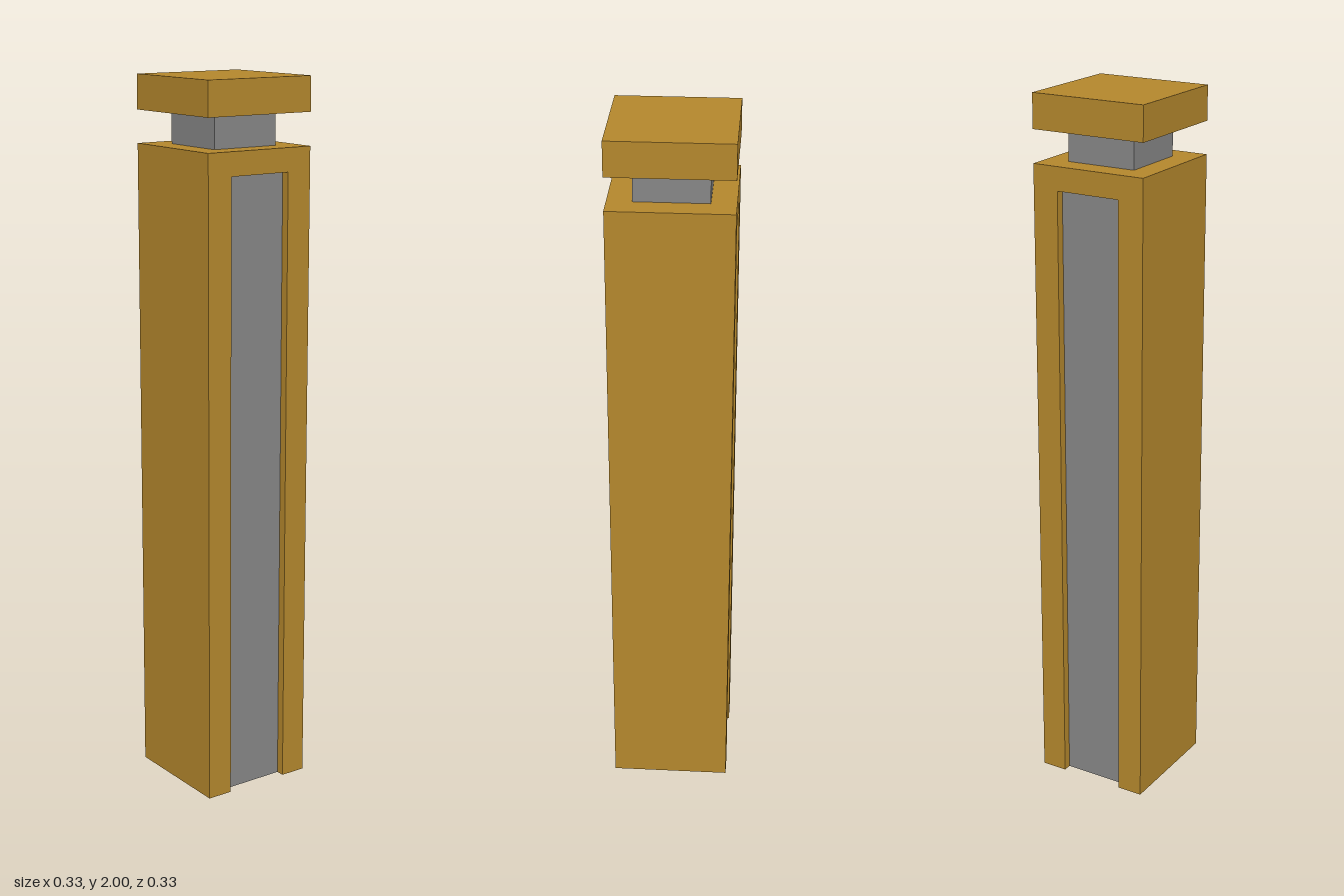
import * as THREE from 'three';

export function createModel() {
  const model = new THREE.Group();
  model.name = 'bollard';

  const brass = new THREE.MeshStandardMaterial({ color: 0xb4872d });
  brass.name = 'ochre';
  const grey = new THREE.MeshStandardMaterial({ color: 0x868686 });
  grey.name = 'grey';

  const half = 0.1667;       // half width of post and cap
  const slot = 0.093;        // half width of the side recesses
  const depth = 0.025;       // recess depth
  const slotTop = 1.75, postTop = 1.815, neckTop = 1.905;

  const add = (name, geometry, material, x, y, z) => {
    const mesh = new THREE.Mesh(geometry, material);
    mesh.name = name;
    mesh.position.set(x, y, z);
    model.add(mesh);
    return mesh;
  };
  const block = (name, width, y0, y1, material) =>
    add(name, new THREE.BoxGeometry(width, y1 - y0, width), material, 0, (y0 + y1) / 2, 0);

  // Post: H-shaped plan, recessed on both sides and open at the foot
  const floor = half - depth;
  const plan = new THREE.Shape([
    [-half, -half], [half, -half], [half, -slot], [floor, -slot], [floor, slot], [half, slot],
    [half, half], [-half, half], [-half, slot], [-floor, slot], [-floor, -slot], [-half, -slot],
  ].map(([x, z]) => new THREE.Vector2(x, z)));
  const postGeometry = new THREE.ExtrudeGeometry(plan, { depth: slotTop, bevelEnabled: false });
  postGeometry.rotateX(-Math.PI / 2);
  add('post', postGeometry, brass, 0, 0, 0);

  // Solid head closing the recesses
  block('postHead', half * 2, slotTop, postTop, brass);

  // Grey inlay on the floor of each recess
  for (const side of [1, -1]) {
    const inlay = add(side > 0 ? 'leftInlay' : 'rightInlay',
      new THREE.PlaneGeometry(slot * 2, slotTop), grey, side * (floor + 0.001), slotTop / 2, 0);
    inlay.rotation.y = side * Math.PI / 2;
  }

  // Narrow neck and square cap
  block('neck', 0.2, postTop, neckTop, grey);
  block('cap', half * 2, neckTop, 2, brass);

  return model;
}
